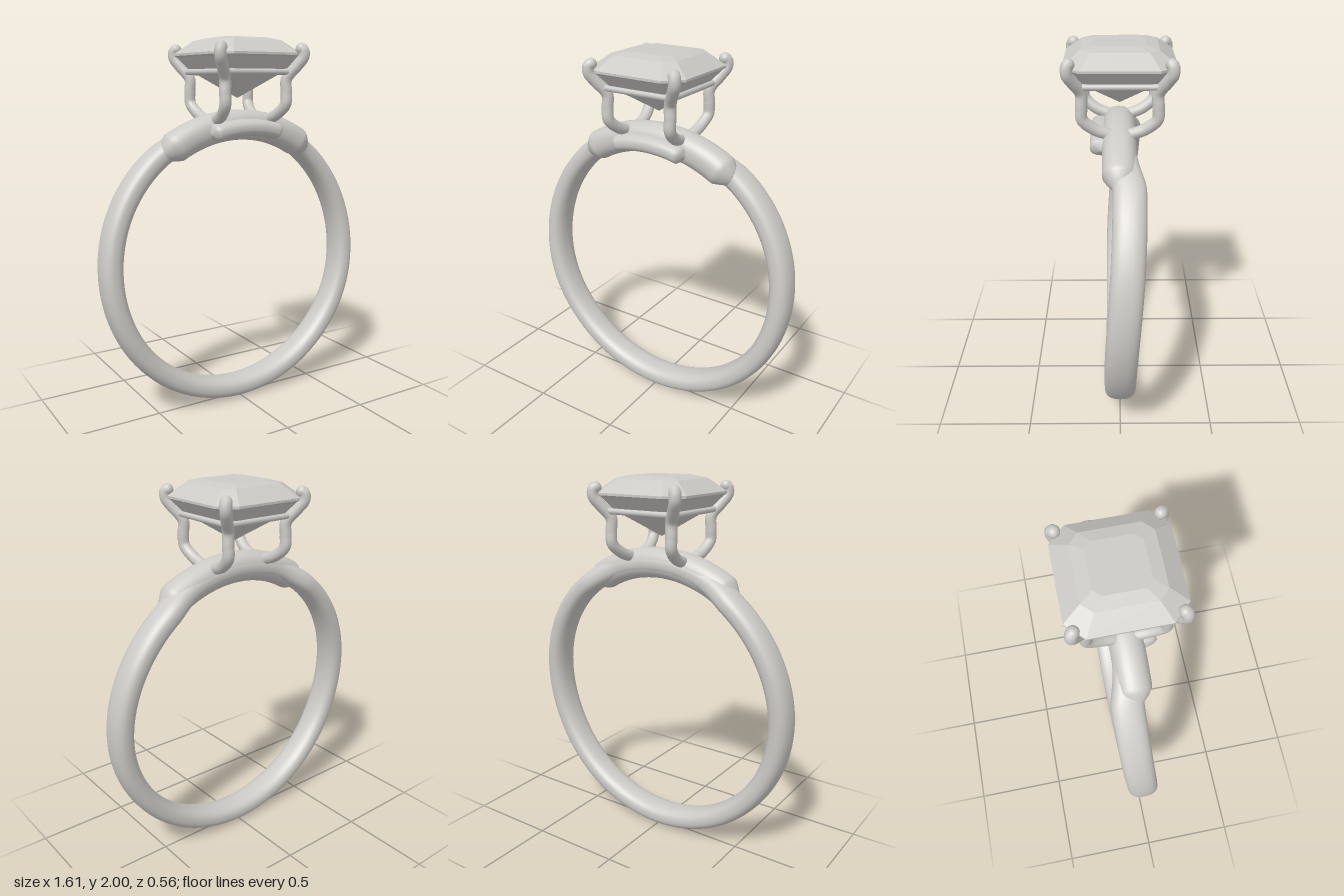
import * as THREE from 'three';

const CENTRE_Y = 0.803;
const lerp = THREE.MathUtils.lerp, smooth = THREE.MathUtils.smoothstep;

// Skin a list of equally long closed cross-sections
function loft(rings, closed = false) {
  const n = rings[0].length, pos = rings.flat(2), idx = [];
  const spans = closed ? rings.length : rings.length - 1;
  for (let i = 0; i < spans; i++) {
    const k = (i + 1) % rings.length;
    for (let j = 0; j < n; j++) {
      const m = (j + 1) % n;
      const a = i * n + j, b = i * n + m, c = k * n + m, d = k * n + j;
      idx.push(a, b, c, a, c, d);
    }
  }
  const g = new THREE.BufferGeometry();
  g.setAttribute('position', new THREE.Float32BufferAttribute(pos, 3));
  g.setIndex(idx);
  g.computeVertexNormals();
  return g;
}

// Sweep a rounded section around the finger; section(deg) gives radius r, depth z, half sizes a (radial) and b (z)
function sweepArc(from, to, steps, closed, section, power = 2.4) {
  const rings = [], sides = 32;
  const round = v => Math.sign(v) * Math.abs(v) ** (2 / power);
  for (let i = 0; i < steps + (closed ? 0 : 1); i++) {
    const deg = lerp(from, to, i / steps), t = deg * Math.PI / 180;
    const { r, z, a, b } = section(deg), ring = [];
    for (let j = 0; j < sides; j++) {
      const p = j / sides * Math.PI * 2;
      const rad = r + a * round(Math.cos(p));
      ring.push([rad * Math.cos(t), CENTRE_Y + rad * Math.sin(t), z - b * round(Math.sin(p))]);
    }
    rings.push(ring);
  }
  return loft(rings, closed);
}

// Square outline with cut corners
function cutSquare(h, cut, y) {
  const k = h - cut;
  return [[h, k], [h, -k], [k, -h], [-k, -h], [-h, -k], [-h, k], [-k, h], [k, h]].map(([x, z]) => [x, y, z]);
}

export function createModel() {
  const group = new THREE.Group();
  const metal = new THREE.MeshStandardMaterial({ color: 0xcccac6 });
  metal.name = 'paleGrey';
  const add = (name, geo, parent = group) => {
    const m = new THREE.Mesh(geo, metal);
    m.name = name;
    parent.add(m);
    return m;
  };

  // Shank: drifts to the back near the shoulders, then returns to the middle
  add('shank', sweepArc(-90, 270, 160, true, deg => {
    const s = Math.sin(deg * Math.PI / 180);
    const z = -0.045 * smooth(s, -0.5, 0.8) * (1 - smooth(s, 0.79, 0.95));
    return { r: 0.745, z, a: 0.058, b: 0.082 };
  }));

  // Thicker bridge overlapping the shank at the top, tapered at both ends
  add('bridge', sweepArc(52, 128, 80, false, deg => {
    const f = Math.min(1, Math.max(0, (38 - Math.abs(deg - 90)) / 7)) ** 0.6;
    return { r: 0.746, z: 0.004, a: 0.081 * f, b: 0.084 * f };
  }, 2.2));

  // Low swelling on the front of the bridge
  add('frontSwelling', sweepArc(73, 107, 32, false, deg => {
    const f = Math.min(1, Math.max(0, (17 - Math.abs(deg - 90)) / 2)) ** 0.5;
    return { r: 0.735, z: 0.085, a: 0.045 * f, b: 0.065 * f };
  }));

  // Four prongs rising from the bridge and gripping the corners
  const prongR = 0.03;
  const profile = [[0.165, 1.575, 0.05], [0.172, 1.605, 0.125], [0.185, 1.66, 0.185],
    [0.187, 1.72, 0.187], [0.187, 1.79, 0.187], [0.225, 1.855, 0.225],
    [0.249, 1.9, 0.249], [0.248, 1.935, 0.248], [0.24, 1.942, 0.24]];
  for (const sz of [1, -1]) for (const sx of [1, -1]) {
    const prong = new THREE.Group();
    prong.name = (sz > 0 ? 'front' : 'back') + (sx > 0 ? 'Left' : 'Right') + 'Prong';
    const pts = profile.map(([x, y, z]) => new THREE.Vector3(x * sx, y, z * sz));
    add('prongWire', new THREE.TubeGeometry(new THREE.CatmullRomCurve3(pts), 48, prongR, 14), prong);
    for (const end of [pts[0], pts[pts.length - 1]])
      add('prongEnd', new THREE.SphereGeometry(prongR, 16, 12), prong).position.copy(end);
    group.add(prong);
  }

  // Square rail joining the prongs below the stone
  const rail = new THREE.Group();
  rail.name = 'galleryRail';
  for (let i = 0; i < 4; i++) {
    const side = new THREE.Group();
    const bar = add('railBar', new THREE.CylinderGeometry(0.016, 0.016, 0.41, 12), side);
    bar.rotation.z = Math.PI / 2;
    bar.position.set(0, 1.825, 0.205);
    side.rotation.y = i * Math.PI / 2;
    rail.add(side);
  }
  group.add(rail);

  // Step-cut stone, from the point up to the table
  const stone = loft([
    cutSquare(0, 0, 1.69), cutSquare(0.2, 0.05, 1.83), cutSquare(0.262, 0.075, 1.9),
    cutSquare(0.275, 0.085, 1.908), cutSquare(0.275, 0.085, 1.92),
    cutSquare(0.19, 0.05, 1.985), cutSquare(0.13, 0.035, 2), cutSquare(0, 0, 2),
  ]).toNonIndexed();
  stone.computeVertexNormals();
  add('stone', stone);

  return group;
}
